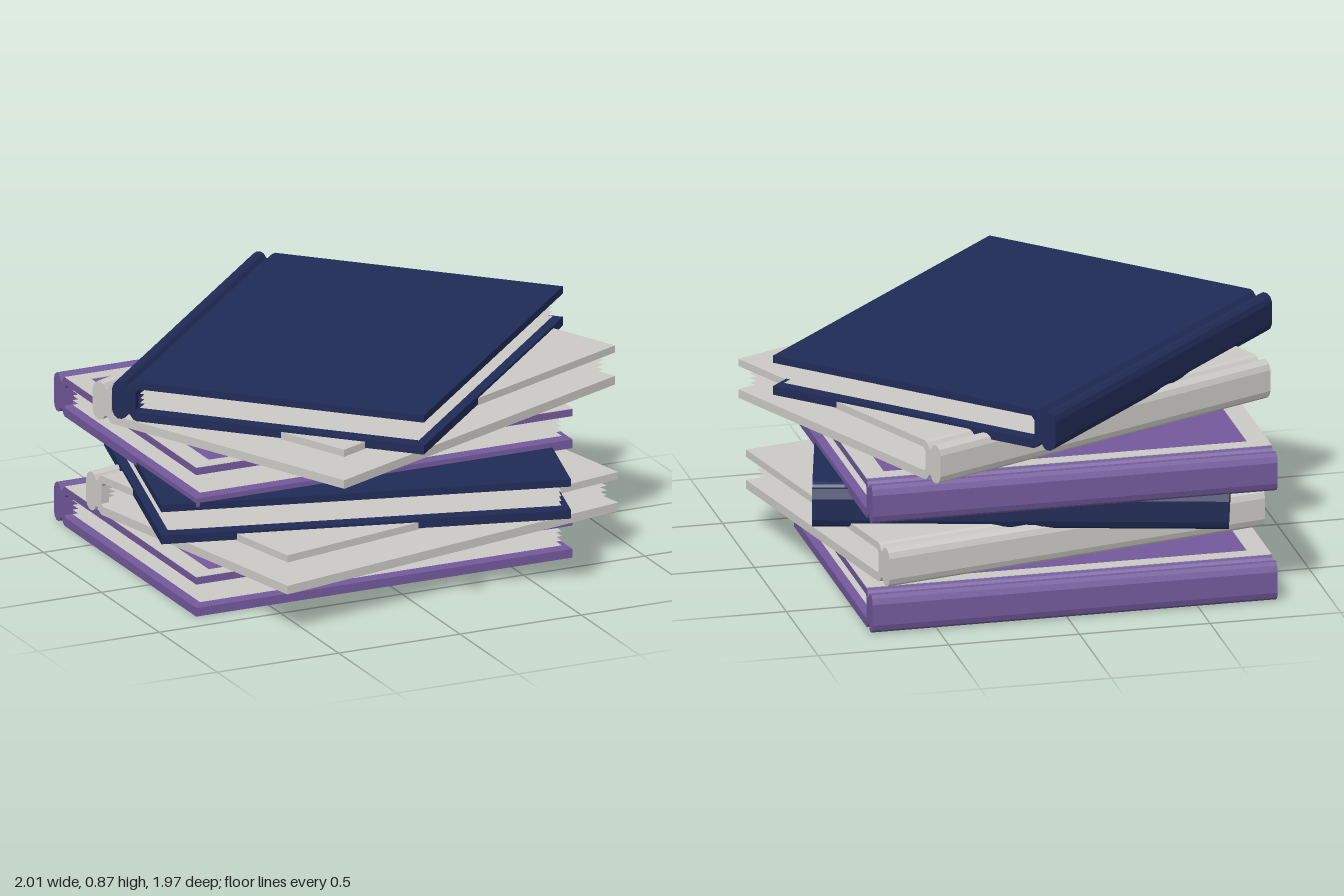
import * as THREE from 'three';

const WIDTH = 1.55, DEPTH = 1.23, THICK = 0.154;
const BACK = -DEPTH / 2, FRONT = DEPTH / 2;

const purple = new THREE.MeshStandardMaterial({ color: 0x72599a });
purple.name = 'purple cloth';
const navy = new THREE.MeshStandardMaterial({ color: 0x202b56 });
navy.name = 'navy cloth';
const offWhite = new THREE.MeshStandardMaterial({ color: 0xcbc9c5 });
offWhite.name = 'off-white cloth';
const paper = new THREE.MeshStandardMaterial({ color: 0xcbc9c5, side: THREE.DoubleSide });
paper.name = 'paper';

function addMesh(group, name, geometry, material) {
  const mesh = new THREE.Mesh(geometry, material);
  mesh.name = name;
  group.add(mesh);
  return mesh;
}

// Extrudes a (z, y) outline along x, centred on x = 0
function extrudeAlongX(points, length) {
  const shape = new THREE.Shape(points.map(([z, y]) => new THREE.Vector2(z, y)));
  const geometry = new THREE.ExtrudeGeometry(shape, { depth: length, bevelEnabled: false });
  return geometry.translate(0, 0, -length / 2).rotateY(-Math.PI / 2);
}

// C-shaped section: two boards, pinched hinges and a rounded spine
function coverGeometry() {
  const lower = [
    [FRONT, 0.034], [FRONT, 0], [BACK + 0.095, 0], [BACK + 0.083, 0.006],
    [BACK + 0.07, 0.024], [BACK + 0.06, 0.024], [BACK + 0.05, 0.008],
    [BACK + 0.038, 0.002], [BACK + 0.022, 0.003], [BACK + 0.008, 0.014], [BACK, 0.036],
  ];
  const upper = lower.map(([z, y]) => [z, THICK - y]).reverse();
  upper[upper.length - 1][1] = THICK - 0.028;
  const hollow = [
    [BACK + 0.105, THICK - 0.028], [BACK + 0.093, THICK - 0.042], [BACK + 0.055, THICK - 0.045],
    [BACK + 0.055, 0.045], [BACK + 0.093, 0.042], [BACK + 0.105, 0.034],
  ];
  return extrudeAlongX([...lower, ...upper, ...hollow], WIDTH);
}

// Thin rectangular border laid on the front board
function borderGeometry() {
  const w = WIDTH / 2, z0 = BACK + 0.095, z1 = FRONT, inset = 0.08;
  const rect = (x, a, b) => [[-x, -b], [x, -b], [x, -a], [-x, -a]].map((p) => new THREE.Vector2(...p));
  const shape = new THREE.Shape(rect(w, z0, z1));
  shape.holes.push(new THREE.Path(rect(w - inset, z0 + 0.06, z1 - 0.06)));
  const geometry = new THREE.ExtrudeGeometry(shape, { depth: 0.002, bevelEnabled: false });
  return geometry.rotateX(-Math.PI / 2);
}

function makeBook(name, material, bordered) {
  const book = new THREE.Group();
  book.name = name;
  addMesh(book, 'cover', coverGeometry(), material);

  // Plugs closing both ends of the spine hollow
  for (const side of [-1, 1]) {
    const plug = addMesh(book, 'spineEnd', new THREE.BoxGeometry(0.035, 0.075, 0.042), material);
    plug.position.set(side * (WIDTH / 2 - 0.0175), THICK / 2, BACK + 0.072);
  }

  // Loose stack of paper-thin sheets
  const sheets = 5, pageDepth = DEPTH - 0.13;
  for (let i = 0; i < sheets; i++) {
    const geometry = new THREE.PlaneGeometry(WIDTH - 0.06, pageDepth).rotateX(-Math.PI / 2);
    const sheet = addMesh(book, 'page', geometry, paper);
    const t = (i + 0.5) / sheets;
    sheet.position.set(0, 0.034 + t * (THICK - 0.062), FRONT - 0.03 - pageDepth / 2);
  }

  if (bordered) addMesh(book, 'coverBorder', borderGeometry(), offWhite).position.y = THICK;
  return book;
}

export function createModel() {
  const stack = new THREE.Group();
  stack.name = 'bookStack';

  // name, material, x, y, z, turn in degrees, bordered
  const books = [
    ['bottomPurpleBook', purple, -0.025, 0, -0.215, 0, true],
    ['lowerWhiteBook', offWhite, 0.045, 0.161, -0.025, 12, false],
    ['lowerNavyBook', navy, -0.02, 0.292, -0.035, -14.7, false],
    ['upperPurpleBook', purple, -0.025, 0.431, -0.215, 0, true],
    ['upperWhiteBook', offWhite, 0.047, 0.59, -0.015, 24, false],
    ['topNavyBook', navy, -0.025, 0.72, -0.005, 45, false],
  ];
  for (const [name, material, x, y, z, turn, bordered] of books) {
    const book = makeBook(name, material, bordered);
    book.position.set(x, y, z);
    book.rotation.y = THREE.MathUtils.degToRad(turn);
    stack.add(book);
  }
  return stack;
}
